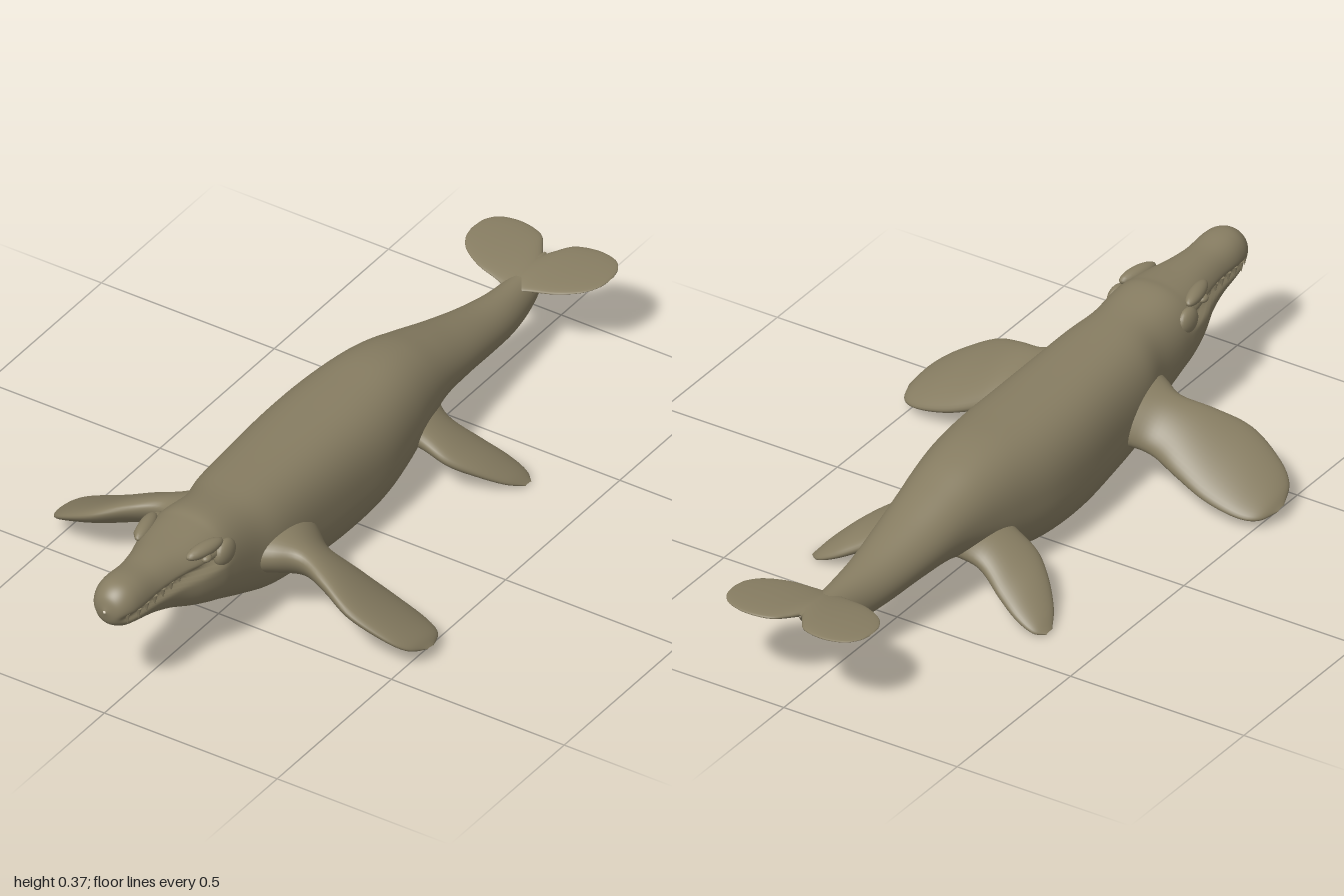
import * as THREE from 'three';

const hide = new THREE.MeshStandardMaterial({ color: 0x877d62 });
hide.name = 'olive hide';

// Smoothly interpolates rows of six numbers.
function smoothRows(rows, steps) {
  const curve = (k) => new THREE.CatmullRomCurve3(
    rows.map((r) => new THREE.Vector3(r[k], r[k + 1], r[k + 2])), false, 'catmullrom', 0.5);
  const a = curve(0), b = curve(3), out = [];
  const n = (rows.length - 1) * steps;
  for (let i = 0; i <= n; i++) out.push([...a.getPoint(i / n).toArray(), ...b.getPoint(i / n).toArray()]);
  return out;
}

// Skins a list of closed rings; flip reverses the faces for mirrored parts.
function loft(name, rings, flip = false) {
  const n = rings[0].length, pos = rings.flat(2), index = [];
  for (let i = 0; i < rings.length - 1; i++) {
    for (let j = 0; j < n; j++) {
      const a = i * n + j, b = i * n + ((j + 1) % n), c = a + n, d = b + n;
      if (flip) index.push(a, b, c, b, d, c);
      else index.push(a, c, b, b, c, d);
    }
  }
  const geo = new THREE.BufferGeometry();
  geo.setAttribute('position', new THREE.Float32BufferAttribute(pos, 3));
  geo.setIndex(index);
  geo.computeVertexNormals();
  const mesh = new THREE.Mesh(geo, hide);
  mesh.name = name;
  return mesh;
}

// Body stations from nose to tail: z, top, bottom, half width, centre x, roundness
const BODY = [
  [1.0, 0.312, 0.304, 0.004, 0, 2],
  [0.988, 0.346, 0.27, 0.036, 0, 2],
  [0.96, 0.367, 0.25, 0.055, 0, 2.1],
  [0.92, 0.372, 0.24, 0.062, 0, 2.2],
  [0.85, 0.366, 0.222, 0.066, 0, 2.2],
  [0.78, 0.368, 0.198, 0.08, 0, 2.2],
  [0.71, 0.371, 0.168, 0.103, 0, 2.3],
  [0.65, 0.376, 0.143, 0.115, 0, 2.3],
  [0.6, 0.381, 0.122, 0.117, 0, 2.3],
  [0.5, 0.369, 0.078, 0.12, 0, 2.3],
  [0.4, 0.365, 0.046, 0.14, -0.005, 2.4],
  [0.25, 0.362, 0.024, 0.149, -0.01, 2.5],
  [0.1, 0.361, 0.011, 0.156, -0.014, 2.5],
  [-0.05, 0.362, 0.016, 0.156, -0.014, 2.4],
  [-0.18, 0.362, 0.042, 0.14, -0.013, 2.3],
  [-0.28, 0.348, 0.085, 0.122, -0.013, 2.2],
  [-0.38, 0.318, 0.12, 0.104, -0.012, 2.1],
  [-0.5, 0.28, 0.123, 0.088, -0.009, 2],
  [-0.62, 0.25, 0.114, 0.07, -0.005, 2],
  [-0.72, 0.237, 0.111, 0.055, 0, 2],
  [-0.8, 0.234, 0.122, 0.044, 0, 2],
  [-0.86, 0.238, 0.155, 0.035, 0, 2],
  [-0.9, 0.241, 0.194, 0.022, 0, 2],
  [-0.93, 0.238, 0.23, 0.004, 0, 2],
];

const mouthY = (z) => 0.287 + 0.012 * Math.min(1, Math.max(0, (0.95 - z) / 0.2));

function makeBody() {
  const seg = 96;
  const rings = smoothRows(BODY, 7).map(([z, top, bottom, w, cx, e]) => {
    // the mouth crease fades out at both ends
    const open = THREE.MathUtils.smoothstep(z, 0.6, 0.68) * (1 - THREE.MathUtils.smoothstep(z, 0.96, 1.0));
    return Array.from({ length: seg }, (_, j) => {
      const a = (j / seg) * Math.PI * 2, c = Math.cos(a), s = Math.sin(a);
      const y = (top + bottom) / 2 + ((top - bottom) / 2) * Math.sign(s) * Math.abs(s) ** (2 / e);
      const crease = 1 - 0.22 * open * Math.exp(-(((y - mouthY(z)) / 0.011) ** 2));
      return [cx + w * crease * Math.sign(c) * Math.abs(c) ** (2 / e), y, z];
    });
  });
  return loft('body', rings);
}

// Fin stations from root to tip: x, y, front edge z, rear edge z, half thickness, front edge lift
const FRONT_FLIPPER = [
  [0.07, 0.19, 0.53, 0.21, 0.075, 0.01],
  [0.14, 0.187, 0.485, 0.27, 0.06, 0.02],
  [0.2, 0.172, 0.452, 0.303, 0.048, 0.033],
  [0.28, 0.147, 0.475, 0.291, 0.042, 0.041],
  [0.37, 0.112, 0.503, 0.28, 0.035, 0.042],
  [0.46, 0.076, 0.484, 0.286, 0.025, 0.03],
  [0.51, 0.056, 0.45, 0.311, 0.016, 0.016],
  [0.533, 0.046, 0.39, 0.365, 0.002, 0.002],
];
const REAR_FLIPPER = [
  [0.05, 0.175, -0.15, -0.38, 0.05, 0.01],
  [0.12, 0.14, -0.192, -0.348, 0.04, 0.015],
  [0.2, 0.096, -0.205, -0.376, 0.032, 0.02],
  [0.26, 0.062, -0.246, -0.395, 0.025, 0.018],
  [0.31, 0.031, -0.3, -0.396, 0.015, 0.01],
  [0.338, 0.014, -0.35, -0.375, 0.002, 0.001],
];
const FLUKE = [
  [-0.005, 0.222, -0.76, -0.91, 0.016, -0.01],
  [0.02, 0.226, -0.778, -0.95, 0.015, -0.009],
  [0.05, 0.231, -0.788, -0.986, 0.012, -0.008],
  [0.11, 0.236, -0.803, -1.0, 0.01, -0.006],
  [0.165, 0.24, -0.835, -0.988, 0.007, -0.004],
  [0.192, 0.242, -0.872, -0.958, 0.004, -0.002],
  [0.2, 0.242, -0.905, -0.925, 0.001, 0],
];

function makeFin(name, rows, side, shift = 0) {
  const seg = 40;
  const rings = smoothRows(rows, 6).map(([x, y, front, rear, thick, lift]) =>
    Array.from({ length: seg }, (_, j) => {
      const a = (j / seg) * Math.PI * 2, c = Math.cos(a), s = Math.sin(a);
      return [side * x + shift, y + lift * c + thick * s, (front + rear) / 2 + ((front - rear) / 2) * c];
    }));
  return loft(name, rings, side < 0);
}

function blob(name, [x, y, z], [rx, ry, rz], turn = 0) {
  const mesh = new THREE.Mesh(new THREE.SphereGeometry(1, 20, 14), hide);
  mesh.name = name;
  mesh.position.set(x, y, z);
  mesh.scale.set(rx, ry, rz);
  mesh.rotation.y = turn;
  return mesh;
}

export function createModel() {
  const model = new THREE.Group();
  model.name = 'marineReptile';
  model.add(makeBody());

  for (const side of [1, -1]) {
    const label = side > 0 ? 'left' : 'right';
    model.add(
      makeFin(`${label}FrontFlipper`, FRONT_FLIPPER, side),
      makeFin(`${label}RearFlipper`, REAR_FLIPPER, side, -0.011),
      makeFin(`${label}TailFluke`, FLUKE, side),
      // brow ridge, eye and cheek
      blob(`${label}Brow`, [side * 0.085, 0.346, 0.69], [0.02, 0.018, 0.06], -side * 0.22),
      blob(`${label}Eye`, [side * 0.098, 0.33, 0.7], [0.012, 0.01, 0.016]),
      blob(`${label}Cheek`, [side * 0.1, 0.305, 0.625], [0.02, 0.035, 0.04]),
    );
    // teeth along the mouth crease
    const teeth = new THREE.Group();
    teeth.name = `${label}Teeth`;
    for (let i = 0; i < 7; i++) {
      const z = 0.965 - i * 0.032;
      const x = i === 0 ? 0.044 : 0.053 + i * 0.0022;
      const tooth = new THREE.Mesh(new THREE.ConeGeometry(0.007, 0.03, 8), hide);
      tooth.name = 'tooth';
      tooth.rotation.x = Math.PI;
      tooth.position.set(side * x, mouthY(z) - 0.002, z);
      teeth.add(tooth);
    }
    model.add(teeth);
  }
  return model;
}
